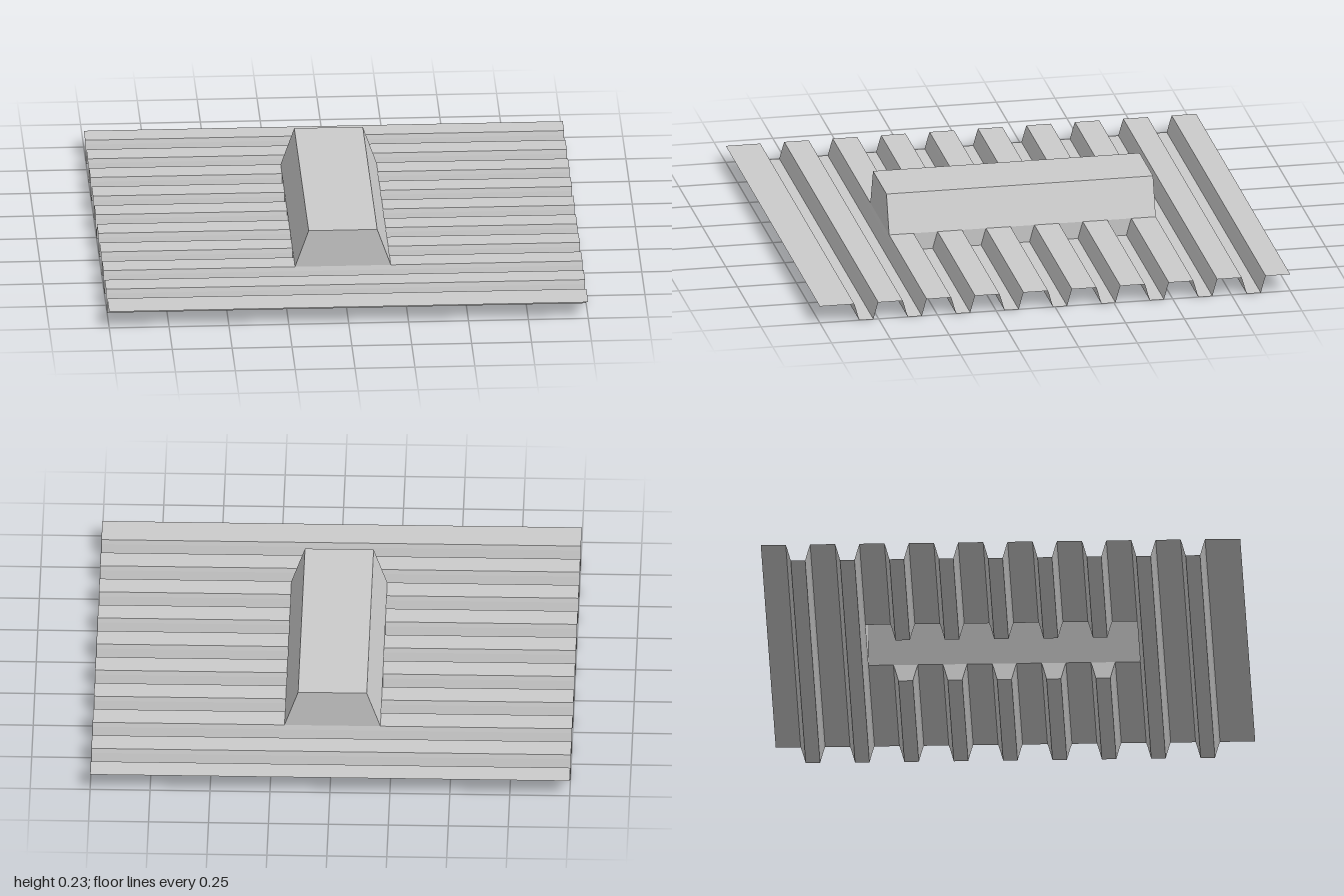
import * as THREE from 'three';

const RIDGE = 0.073, TOP = 0.234;
const PITCH = 0.2059, FIRST = -0.896, VALLEYS = 9;
const HUMP_X = 0.2, HUMP_TOP_X = 0.143;

const material = new THREE.MeshStandardMaterial({
  color: 0xcccccc, flatShading: true, side: THREE.DoubleSide,
});

// One valley of the corrugation as [z, y] pairs, starting at its ridge edge
const VALLEY = [[0, RIDGE], [0.006, 0.055], [0.021, 0], [0.081, 0], [0.096, 0.055], [0.102, RIDGE]];
const valley = (i) => VALLEY.map(([z, y]) => [FIRST + i * PITCH + z, y]);

// Corrugated profile over valleys a..b-1, closed off by flats to z0 and z1
function corrugation(z0, z1, a, b) {
  const points = [[z0, RIDGE]];
  for (let i = a; i < b; i++) points.push(...valley(i));
  points.push([z1, RIDGE]);
  return points.filter((p, i) => i === 0 || Math.abs(p[0] - points[i - 1][0]) > 1e-6);
}

// Open ribbon: a profile of [u, y] pairs swept between two values of w
function ribbon(profile, w0, w1, place) {
  const positions = [];
  for (let i = 0; i < profile.length - 1; i++) {
    const [a, b] = [profile[i], profile[i + 1]];
    const quad = [place(a, w0), place(b, w0), place(b, w1), place(a, w1)];
    for (const k of [0, 1, 2, 0, 2, 3]) positions.push(...quad[k]);
  }
  const geometry = new THREE.BufferGeometry();
  geometry.setAttribute('position', new THREE.Float32BufferAttribute(positions, 3));
  geometry.computeVertexNormals();
  return geometry;
}

const alongX = ([z, y], x) => [x, y, z];
const alongZ = ([x, y], z) => [x, y, z];

function polygon(points) {
  return new THREE.ShapeGeometry(new THREE.Shape(points.map(([u, v]) => new THREE.Vector2(u, v))));
}

export function createModel() {
  const model = new THREE.Group();
  model.name = 'corrugatedPanel';
  const add = (name, geometry, parent = model) => {
    const mesh = new THREE.Mesh(geometry, material);
    mesh.name = name;
    parent.add(mesh);
    return mesh;
  };

  // The raised box runs from the end of the second valley to the start of the eighth
  const back = FIRST + PITCH + 0.102;
  const front = FIRST + 7 * PITCH;

  // Thin sheet, left open beneath the raised box
  const sheet = new THREE.Group();
  sheet.name = 'corrugatedSheet';
  model.add(sheet);
  add('backSheet', ribbon(corrugation(-1, back, 0, 2), 1, -1, alongX), sheet);
  add('frontSheet', ribbon(corrugation(front, 1, 7, VALLEYS), 1, -1, alongX), sheet);
  const middle = corrugation(back, front, 2, 7);
  add('leftSheet', ribbon(middle, 1, HUMP_X, alongX), sheet);
  add('rightSheet', ribbon(middle, -HUMP_X, -1, alongX), sheet);

  // Hollow raised box with sloping sides and upright ends
  const section = [[-HUMP_X, RIDGE], [-HUMP_TOP_X, TOP], [HUMP_TOP_X, TOP], [HUMP_X, RIDGE]];
  const box = new THREE.Group();
  box.name = 'raisedBox';
  model.add(box);
  add('boxShell', ribbon(section, front, back, alongZ), box);
  add('boxFrontEnd', polygon(section), box).position.z = front;
  const backEnd = add('boxBackEnd', polygon(section), box);
  backEnd.position.z = back;
  backEnd.rotation.y = Math.PI;

  // Upright plates that close the valleys at both sides of the box
  for (const side of [1, -1]) {
    for (let i = 2; i < 7; i++) {
      const plate = add(side > 0 ? 'leftValleyPlate' : 'rightValleyPlate',
        polygon(valley(i).map(([z, y]) => [-side * z, y])), box);
      plate.rotation.y = side * Math.PI / 2;
      plate.position.x = side * HUMP_X;
    }
  }
  return model;
}
